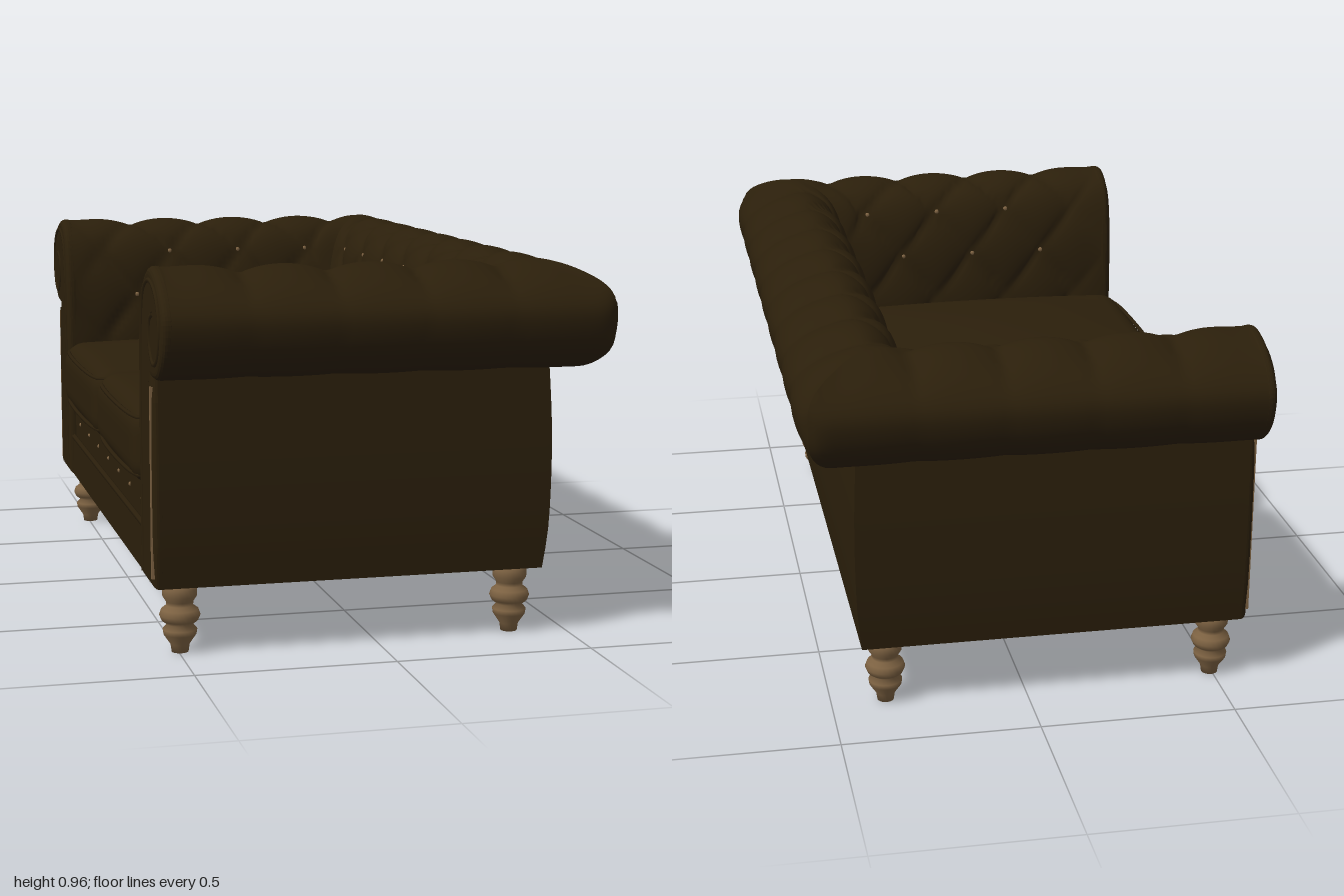
import * as THREE from 'three';
import { mergeVertices } from 'three/addons/utils/BufferGeometryUtils.js';

const leather = new THREE.MeshStandardMaterial({ color: 0x2b1f0b, side: THREE.DoubleSide });
leather.name = 'dark brown leather';
const wood = new THREE.MeshStandardMaterial({ color: 0x7d6242 });
wood.name = 'turned wood';

const ARM_Z = 0.68, BACK_X = 0.26, FRONT_X = -0.556;
const V2 = (p) => new THREE.Vector2(p[0], p[1]);
const clamp = (v) => Math.min(1, Math.max(0, v));

// Cross-section (d = distance outward from the seat side, y): inner face and roll
const rollCurve = new THREE.SplineCurve([[0, 0.36], [0, 0.5], [0, 0.65], [0.01, 0.8], [0.045, 0.905],
  [0.115, 0.953], [0.185, 0.949], [0.255, 0.917], [0.302, 0.875], [0.321, 0.828], [0.302, 0.755],
  [0.25, 0.703], [0.2, 0.69], [0.165, 0.69]].map(V2));
// Outer panel below the roll, ending in a narrow rim underneath
const panelCurve = new THREE.SplineCurve([[0.172, 0.7], [0.179, 0.55], [0.18, 0.42], [0.176, 0.28], [0.165, 0.173]].map(V2));
const rimCurve = new THREE.LineCurve(V2([0.165, 0.173]), V2([0.11, 0.173]));

const LENGTH = rollCurve.getLength(), ROW = 0.28, TOP_V = 0.65, ARM_PITCH = 0.217, BACK_PITCH = 0.211;

// Point on the U-shaped run: side 1 / -1 = arms, 0 = back; s runs along it
function place(side, d, y, s) {
  let x = side ? THREE.MathUtils.lerp(FRONT_X, BACK_X + d, s) : BACK_X + d;
  let z = side ? side * (ARM_Z + d) : THREE.MathUtils.lerp(ARM_Z + d, -ARM_Z - d, s);
  // soften the outer corners
  const r = 0.08, u = Math.max(0, x - 0.5), w = Math.max(0, Math.abs(z) - 0.92);
  if (u > 0 && w > 0) {
    x = 0.5 + u * Math.sqrt(1 - 0.5 * (w / r) ** 2);
    z = Math.sign(z) * (0.92 + w * Math.sqrt(1 - 0.5 * (u / r) ** 2));
  }
  return [x, y, z];
}

// Depth of the tufting: diamonds inside, straight pleats over the roll
function tuftDepth(side, d, s, v) {
  const [x, , z] = place(side, d, 0, s);
  const a = side ? (x + 0.35) / ARM_PITCH : z / BACK_PITCH + 0.5;
  const k = Math.min(0, (v - TOP_V) / ROW);
  const puff = Math.abs(Math.sin(Math.PI * (a + k)) * Math.sin(Math.PI * (a - k))) ** 0.35;
  const corner = side ? BACK_X + d - x : ARM_Z + d - Math.abs(z);
  const front = side ? clamp((x - FRONT_X) / 0.12) : 1;
  const outer = 1 - (side ? 0.85 : 0.6) * clamp((v - TOP_V - 0.08) / 0.12);
  return 0.024 * front * outer * clamp(corner / 0.08) * (1 - puff);
}

function sweep(name, curve, rows, side, tufted) {
  const cols = side ? 64 : 128, pos = [], idx = [];
  for (let j = 0; j <= rows; j++) {
    const p = curve.getPointAt(j / rows), t = curve.getTangentAt(j / rows);
    for (let i = 0; i <= cols; i++) {
      const s = i / cols;
      const m = tufted ? tuftDepth(side, p.x, s, LENGTH * j / rows) : 0;
      pos.push(...place(side, p.x + t.y * m, p.y - t.x * m, s));
      if (i < cols && j < rows) {
        const a = j * (cols + 1) + i, b = a + 1, c = a + cols + 1, e = c + 1;
        if (side < 0) idx.push(a, b, c, b, e, c);
        else idx.push(a, c, b, b, c, e);
      }
    }
  }
  const g = new THREE.BufferGeometry();
  g.setAttribute('position', new THREE.Float32BufferAttribute(pos, 3));
  g.setIndex(idx);
  g.computeVertexNormals();
  return mesh(name, g, leather);
}

function mesh(name, geometry, material, x = 0, y = 0, z = 0) {
  const m = new THREE.Mesh(geometry, material);
  m.name = name;
  m.position.set(x, y, z);
  return m;
}

const box = (name, mat, x0, x1, y0, y1, z0, z1) => mesh(name, new THREE.BoxGeometry(x1 - x0, y1 - y0, z1 - z0),
  mat, (x0 + x1) / 2, (y0 + y1) / 2, (z0 + z1) / 2);

function tube(name, points, r, closed = false) {
  const c = new THREE.CatmullRomCurve3(points, closed, 'centripetal');
  return mesh(name, new THREE.TubeGeometry(c, 90, r, 6, closed), leather);
}

// Rounded, crowned cushion
function cushionGeometry(w, h, d, r) {
  let g = new THREE.BoxGeometry(w, h, d, 44, 12, 40);
  g.deleteAttribute('uv');
  g.deleteAttribute('normal');
  g = mergeVertices(g);
  const p = g.attributes.position, v = new THREE.Vector3(), q = new THREE.Vector3();
  const half = new THREE.Vector3(w / 2 - r, h / 2 - r, d / 2 - r), low = half.clone().negate();
  for (let i = 0; i < p.count; i++) {
    v.fromBufferAttribute(p, i);
    q.copy(v).clamp(low, half);
    v.sub(q).setLength(r).add(q);
    const u = 2 * v.x / w, t = 2 * v.z / d;
    if (v.y > 0) v.y += 0.03 * (1 - u * u) * (1 - t * t);
    p.setXYZ(i, v.x, v.y, v.z);
  }
  g.computeVertexNormals();
  return g;
}

export function createModel() {
  const model = new THREE.Group();
  model.name = 'sofa';

  // Arms and back
  for (const [name, side] of [['leftArm', 1], ['back', 0], ['rightArm', -1]]) {
    const part = new THREE.Group();
    part.name = name;
    part.add(sweep('tuftedRoll', rollCurve, 64, side, true), sweep('outerPanel', panelCurve, 10, side, false),
      sweep('bottomRim', rimCurve, 1, side, false));

    // Buttons where the tufting creases cross on the inner face
    const button = new THREE.SphereGeometry(0.007, 8, 6);
    for (const row of [1, 2]) {
      const u = (TOP_V - row * ROW / 2) / LENGTH, p = rollCurve.getPointAt(u), t = rollCurve.getTangentAt(u);
      const d = p.x + t.y * 0.02, y = p.y - t.x * 0.02;
      for (let n = -5; n <= 5; n++) {
        const a = n + (row % 2) * 0.5;
        const x = a * ARM_PITCH - 0.35, z = (a - 0.5) * BACK_PITCH;
        if (side ? x > -0.45 && x < BACK_X + d - 0.08 : Math.abs(z) < ARM_Z + d - 0.08) {
          part.add(mesh('button', button, wood, side ? x : BACK_X + d, y, side ? side * (ARM_Z + d) : z));
        }
      }
    }

    // Rounded front face of each arm with scroll piping
    if (side) {
      const outline = [[0, 0.173], ...rollCurve.getPoints(60).map((p) => [p.x, p.y]),
        ...panelCurve.getPoints(8).slice(1).map((p) => [p.x, p.y])];
      const shape = new THREE.Shape(outline.map(([d, y]) => V2([side * (ARM_Z + d), y])));
      const cap = new THREE.ExtrudeGeometry(shape, { depth: 0.006, bevelThickness: 0.016, bevelSize: 0.018,
        bevelOffset: -0.018, bevelSegments: 4 });
      cap.rotateY(-Math.PI / 2);
      part.add(mesh('armFront', cap, leather, -0.549));
      const at = ([d, y]) => new THREE.Vector3(-0.569, y, side * (ARM_Z + d));
      part.add(tube('scrollPiping', [[0.025, 0.19], [0.025, 0.4], [0.025, 0.62], [0.037, 0.8], [0.07, 0.89], [0.13, 0.922],
        [0.2, 0.918], [0.262, 0.88], [0.287, 0.82], [0.26, 0.75], [0.2, 0.73], [0.155, 0.77], [0.16, 0.83], [0.2, 0.85]].map(at), 0.007));
      part.add(tube('panelPiping', [[0.14, 0.19], [0.15, 0.4], [0.145, 0.68]].map(at), 0.006));
      const edge = side * (ARM_Z + 0.16);
      part.add(box('edgeTrim', wood, -0.574, -0.566, 0.2, 0.67, edge - 0.004, edge + 0.004));
    }
    model.add(part);
  }

  // Front rail in two bands with nail heads
  model.add(box('frontRail', leather, -0.55, -0.5, 0.173, 0.4, -0.7, 0.7));
  model.add(box('lowerRailBand', leather, -0.56, -0.545, 0.173, 0.285, -0.69, 0.69));
  model.add(tube('railPiping', [-0.68, -0.3, 0.3, 0.68].map((z) => new THREE.Vector3(-0.556, 0.29, z)), 0.008));
  for (let i = -3; i <= 3; i++) {
    model.add(mesh('railNail', new THREE.SphereGeometry(0.006, 8, 6), wood, -0.549, 0.345, i * 0.19));
  }

  // Seat cushions with welted edges
  const cushion = cushionGeometry(0.835, 0.2, 0.676, 0.06);
  for (const side of [1, -1]) {
    const seat = new THREE.Group();
    seat.name = side > 0 ? 'leftCushion' : 'rightCushion';
    seat.position.set(-0.17, 0.49, side * 0.341);
    seat.add(mesh('cushion', cushion, leather));
    for (const y of [-0.072, 0.074]) {
      const ring = [];
      for (const [sx, sz] of [[1, 1], [-1, 1], [-1, -1], [1, -1]]) {
        const ends = [[0.407, 0.267], [0.392, 0.313], [0.347, 0.328]];
        if (sx * sz < 0) ends.reverse();
        ring.push(...ends.map(([x, z]) => new THREE.Vector3(sx * x, y, sz * z)));
      }
      seat.add(tube('welt', ring, 0.006, true));
    }
    model.add(seat);
  }

  // Open underframe
  for (const z of [-0.3, 0.3]) model.add(box('crossBeam', leather, -0.52, 0.27, 0.27, 0.33, z - 0.025, z + 0.025));
  model.add(box('longBeam', leather, -0.305, -0.255, 0.25, 0.33, -0.72, 0.72));

  // Thin wooden strip along the bottom edge
  model.add(box('backBottomTrim', wood, 0.4, 0.408, 0.169, 0.175, -0.82, 0.82));
  for (const s of [1, -1]) {
    model.add(box('armBottomTrim', wood, -0.54, 0.4, 0.169, 0.175, s * 0.82 - 0.004, s * 0.82 + 0.004));
  }
  model.add(box('frontBottomTrim', wood, -0.512, -0.504, 0.169, 0.175, -0.7, 0.7));

  // Turned legs with a corner block above
  const legGeometry = new THREE.LatheGeometry([[0, 0], [0.021, 0], [0.024, 0.02], [0.041, 0.045], [0.043, 0.058],
    [0.032, 0.07], [0.045, 0.08], [0.051, 0.094], [0.046, 0.108], [0.033, 0.118], [0.034, 0.128], [0.043, 0.142],
    [0.043, 0.16], [0.036, 0.176], [0, 0.176]].map(V2), 24);
  for (const x of [-0.495, 0.36]) {
    for (const z of [-0.785, 0.785]) {
      model.add(mesh('leg', legGeometry, wood, x, 0, z));
      model.add(box('cornerBlock', leather, x - 0.045, x + 0.045, 0.175, 0.26, z - 0.045, z + 0.045));
    }
  }
  return model;
}
